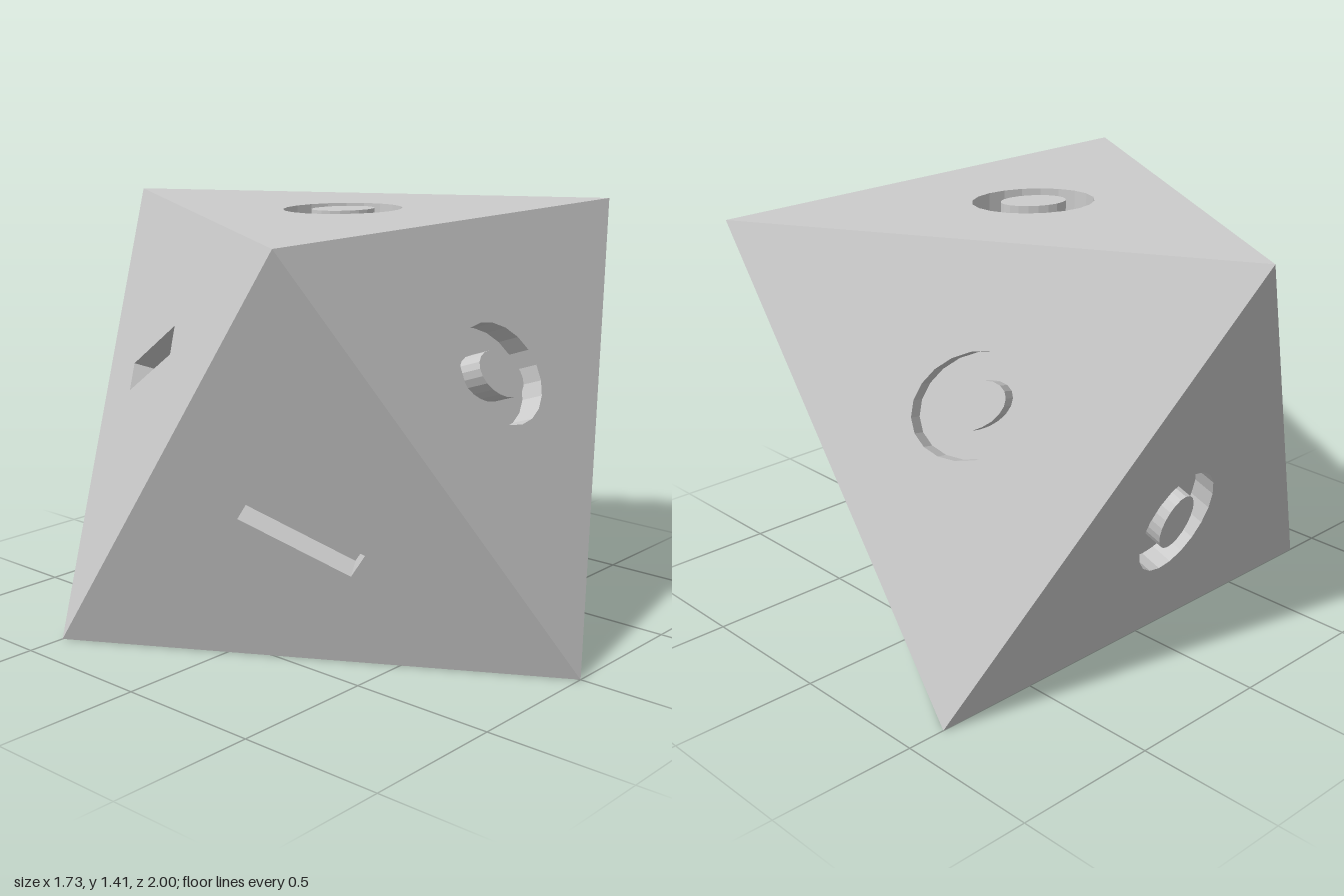
import * as THREE from 'three';

const H = Math.SQRT2;      // distance between the two level faces
const S = Math.sqrt(3) / 2;
const DEPTH = 0.08;        // depth of the engraved recesses

const v = (x, y, z) => new THREE.Vector3(x, y, z);

// Corners of a regular octahedron resting on one face
const corner = {
  topLeft: v(S, H, 0.5), topRight: v(-S, H, 0.5), topBack: v(0, H, -1),
  lowFront: v(0, 0, 1), lowLeft: v(S, 0, -0.5), lowRight: v(-S, 0, -0.5),
};

// Each face: its mark points along the line through the first corner
const FACES = [
  ['topFace', 'ring', 'topLeft', 'topRight', 'topBack'],
  ['frontFace', 'ring', 'topRight', 'topLeft', 'lowFront'],
  ['frontLeftFace', 'ring', 'topLeft', 'lowFront', 'lowLeft'],
  ['frontRightFace', 'slot', 'lowFront', 'topRight', 'lowRight'],
  ['backLeftFace', 'ring', 'topBack', 'topLeft', 'lowLeft'],
  ['backRightFace', 'slot', 'topRight', 'topBack', 'lowRight'],
  ['backFace', 'ring', 'topBack', 'lowLeft', 'lowRight'],
  ['bottomFace', 'ring', 'lowRight', 'lowFront', 'lowLeft'],
];

// Counter-clockwise outlines in the plane of a face
const oval = (rx, ry, n = 20) => Array.from({ length: n }, (_, i) => {
  const a = (i / n) * Math.PI * 2;
  return new THREE.Vector2(rx * Math.cos(a), ry * Math.sin(a));
});
const rect = (w, h) => [[-1, -1], [1, -1], [1, 1], [-1, 1]]
  .map(([x, y]) => new THREE.Vector2(x * w / 2, y * h / 2));
const triangle = [[0, 1], [-S, -0.5], [S, -0.5]].map(p => new THREE.Vector2(...p));

// Flat sheet at height z, with an optional opening
function sheet(outline, hole, z = 0) {
  const shape = new THREE.Shape(outline);
  if (hole) shape.holes.push(new THREE.Path(hole));
  return new THREE.ShapeGeometry(shape).translate(0, 0, z);
}

// Recess wall; it faces the inside of a counter-clockwise loop
function wall(loop) {
  const pos = [];
  loop.forEach((p, i) => {
    const q = loop[(i + 1) % loop.length];
    pos.push(p.x, p.y, 0, q.x, q.y, 0, q.x, q.y, -DEPTH);
    pos.push(p.x, p.y, 0, q.x, q.y, -DEPTH, p.x, p.y, -DEPTH);
  });
  const g = new THREE.BufferGeometry();
  g.setAttribute('position', new THREE.Float32BufferAttribute(pos, 3));
  g.computeVertexNormals();
  return g;
}

// The pieces of one face for each kind of engraved mark
function ringPieces() {
  const outer = oval(0.16, 0.205), inner = oval(0.07, 0.11);
  return {
    facePlate: sheet(triangle, outer),
    recessFloor: sheet(outer, inner, -DEPTH),
    recessWall: wall(outer),
    islandWall: wall([...inner].reverse()),
    islandTop: sheet(inner),
  };
}

function slotPieces() {
  const outline = rect(0.1, 0.4);
  return {
    facePlate: sheet(triangle, outline),
    recessFloor: sheet(outline, null, -DEPTH),
    recessWall: wall(outline),
  };
}

export function createModel() {
  const model = new THREE.Group();
  model.name = 'eightSidedDie';
  const material = new THREE.MeshStandardMaterial({ color: 0xcccccc, flatShading: true });
  const pieces = { ring: ringPieces(), slot: slotPieces() };
  const centre = v(0, H / 2, 0);

  for (const [name, mark, ...keys] of FACES) {
    const pts = keys.map(k => corner[k]);
    const mid = v(0, 0, 0);
    pts.forEach(p => mid.addScaledVector(p, 1 / 3));

    // Stand the shared face pieces on this side of the solid
    const out = mid.clone().sub(centre).normalize();
    const up = pts[0].clone().sub(mid).normalize();
    const across = up.clone().cross(out);
    const face = new THREE.Group();
    face.name = name;
    face.quaternion.setFromRotationMatrix(new THREE.Matrix4().makeBasis(across, up, out));
    face.position.copy(mid);

    for (const [part, geometry] of Object.entries(pieces[mark])) {
      const mesh = new THREE.Mesh(geometry, material);
      mesh.name = part;
      face.add(mesh);
    }
    model.add(face);
  }
  return model;
}
